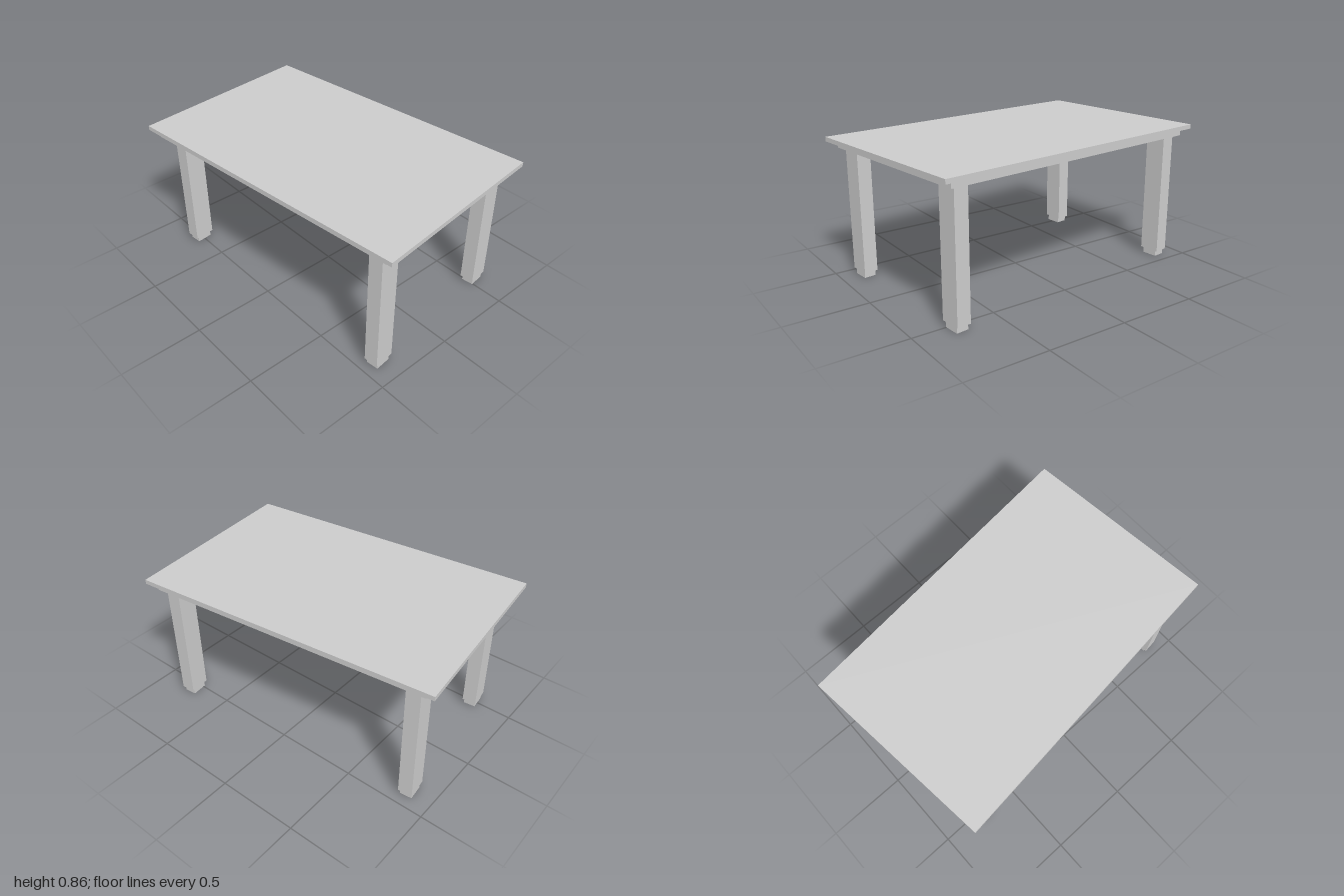
import * as THREE from 'three';

const material = new THREE.MeshStandardMaterial({ color: 0xcccccc, flatShading: true });

// Box spanning heights y0 to y1
function box(name, width, depth, y0, y1) {
  const mesh = new THREE.Mesh(new THREE.BoxGeometry(width, y1 - y0, depth), material);
  mesh.name = name;
  mesh.position.y = (y0 + y1) / 2;
  return mesh;
}

// Square post on a slightly smaller foot
function makeLeg(name, x, z) {
  const leg = new THREE.Group();
  leg.name = name;
  leg.position.set(x, 0, z);
  leg.add(box('post', 0.127, 0.086, 0.036, 0.795), box('foot', 0.097, 0.073, 0, 0.036));
  return leg;
}

export function createModel() {
  const model = new THREE.Group();
  model.name = 'table';

  // The whole table stands slightly turned
  const table = new THREE.Group();
  table.name = 'turnedTable';
  table.rotation.y = 0.103;
  model.add(table);

  // Top board over a smaller under-slab
  table.add(box('tabletop', 1.18, 1.888, 0.835, 0.862));
  table.add(box('underSlab', 1.11, 1.772, 0.795, 0.835));

  // Legs, with the back right one set further in
  const legs = [
    ['frontLeftLeg', 0.459, 0.805],
    ['frontRightLeg', -0.471, 0.805],
    ['backLeftLeg', 0.465, -0.803],
    ['backRightLeg', -0.424, -0.785],
  ];
  for (const [name, x, z] of legs) table.add(makeLeg(name, x, z));

  return model;
}
